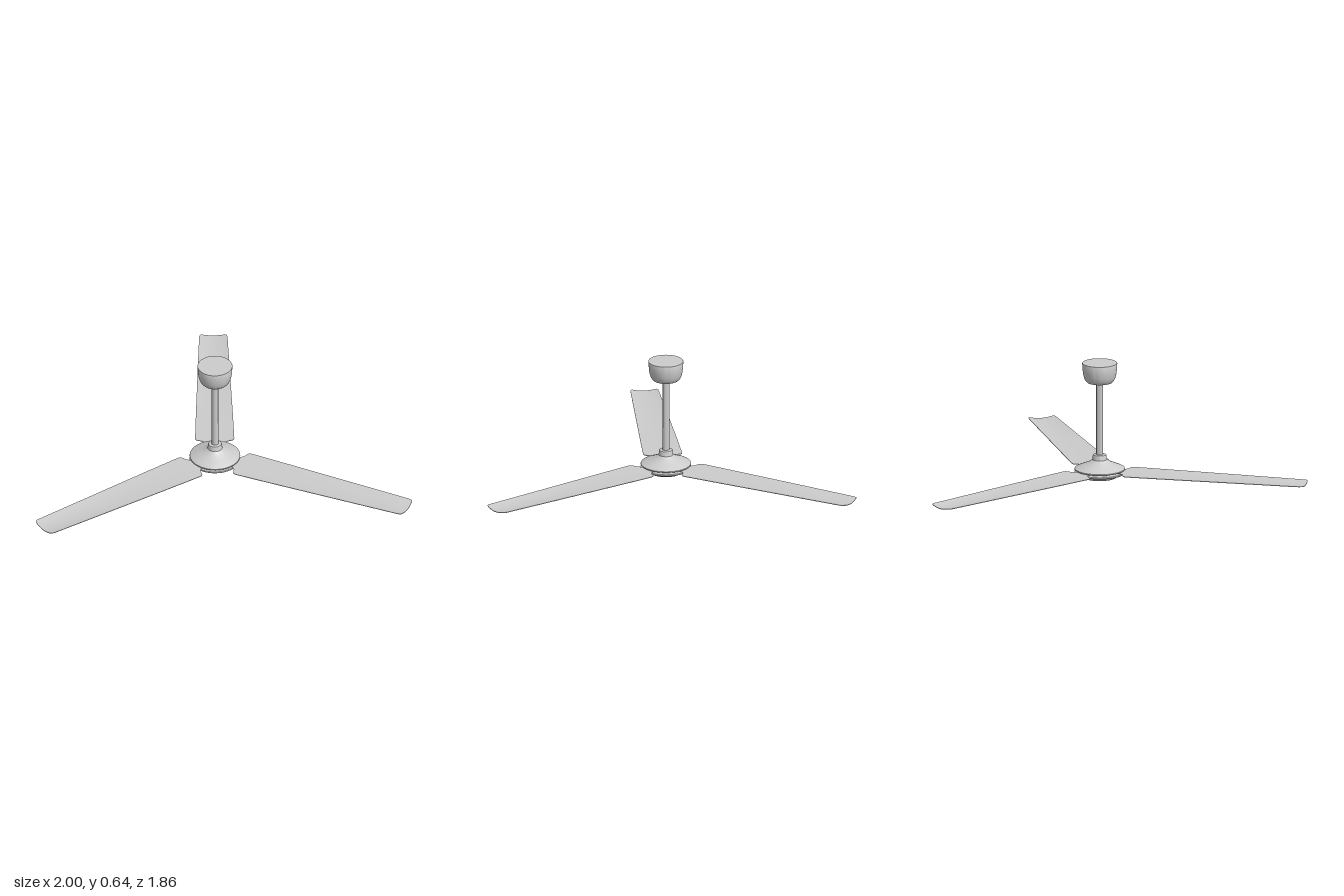
import * as THREE from 'three';
import { toCreasedNormals } from 'three/addons/utils/BufferGeometryUtils.js';

const material = new THREE.MeshStandardMaterial({ color: 0xcccccc });

// Turned part: profile of [radius, height] from bottom to top
function turned(name, profile) {
  const points = profile.map(([r, y]) => new THREE.Vector2(r, y));
  const geometry = toCreasedNormals(new THREE.LatheGeometry(points, 64), 0.5);
  const mesh = new THREE.Mesh(geometry, material);
  mesh.name = name;
  return mesh;
}

// Blade outline along +z: [distance from the axis, half width]
const OUTLINE = [
  [0.09, 0.046], [0.12, 0.046], [0.128, 0.05], [0.134, 0.058], [0.143, 0.066],
  [0.148, 0.082], [0.153, 0.097], [0.16, 0.103], [0.172, 0.106], [0.4, 0.1],
  [0.65, 0.092], [0.9, 0.084], [1.115, 0.077], [1.13, 0.075], [1.139, 0.071], [1.143, 0.065],
];

// Thin blade, gently dished towards the tip, with a slightly bowed end
function bladeGeometry() {
  const n = OUTLINE.length - 1;
  const geometry = new THREE.BoxGeometry(2, 0.003, 1, 12, 1, n);
  const p = geometry.attributes.position;
  for (let i = 0; i < p.count; i++) {
    const s = p.getX(i);
    const [r, half] = OUTLINE[Math.round((p.getZ(i) + 0.5) * n)];
    const t = Math.max(0, (r - 0.14) / 1.0);
    const dish = 0.01 * t * (1 - s * s);
    const bow = r > 1.1 ? 0.004 * (1 - s * s) : 0;
    p.setXYZ(i, s * half, 0.038 + p.getY(i) - dish, r + bow);
  }
  geometry.computeVertexNormals();
  return geometry;
}

export function createModel() {
  const model = new THREE.Group();
  model.name = 'ceilingFan';
  const fan = new THREE.Group();
  fan.name = 'fan';
  fan.position.set(-0.026, 0, -0.225);
  model.add(fan);

  // Motor: lower cover, core between the plates, upper bell
  fan.add(turned('lowerCover', [
    [0, 0.006], [0.078, 0.006], [0.082, 0], [0.09, 0.001], [0.112, 0.018],
    [0.114, 0.022], [0.133, 0.022], [0.137, 0.025], [0.137, 0.029], [0.134, 0.032], [0, 0.032],
  ]));
  fan.add(turned('motorCore', [[0.1, 0.03], [0.1, 0.046]]));
  fan.add(turned('upperCover', [
    [0, 0.043], [0.134, 0.043], [0.137, 0.046], [0.136, 0.05], [0.125, 0.056],
    [0.09, 0.071], [0.062, 0.084], [0.048, 0.093], [0.04, 0.1], [0.038, 0.106],
    [0.038, 0.12], [0.035, 0.126], [0.028, 0.128], [0, 0.128],
  ]));

  // Hanging rod and ceiling canopy
  fan.add(turned('downrod', [[0.019, 0.12], [0.019, 0.54]]));
  fan.add(turned('canopy', [
    [0, 0.53], [0.06, 0.53], [0.069, 0.533], [0.077, 0.541], [0.084, 0.555],
    [0.089, 0.573], [0.092, 0.595], [0.095, 0.637], [0.094, 0.64], [0, 0.64],
  ]));

  // Three blades
  const geometry = bladeGeometry();
  [['frontBlade', 0], ['leftBlade', 120], ['rightBlade', -125]].forEach(([name, angle]) => {
    const blade = new THREE.Mesh(geometry, material);
    blade.name = name;
    blade.rotation.y = THREE.MathUtils.degToRad(angle);
    fan.add(blade);
  });
  return model;
}
